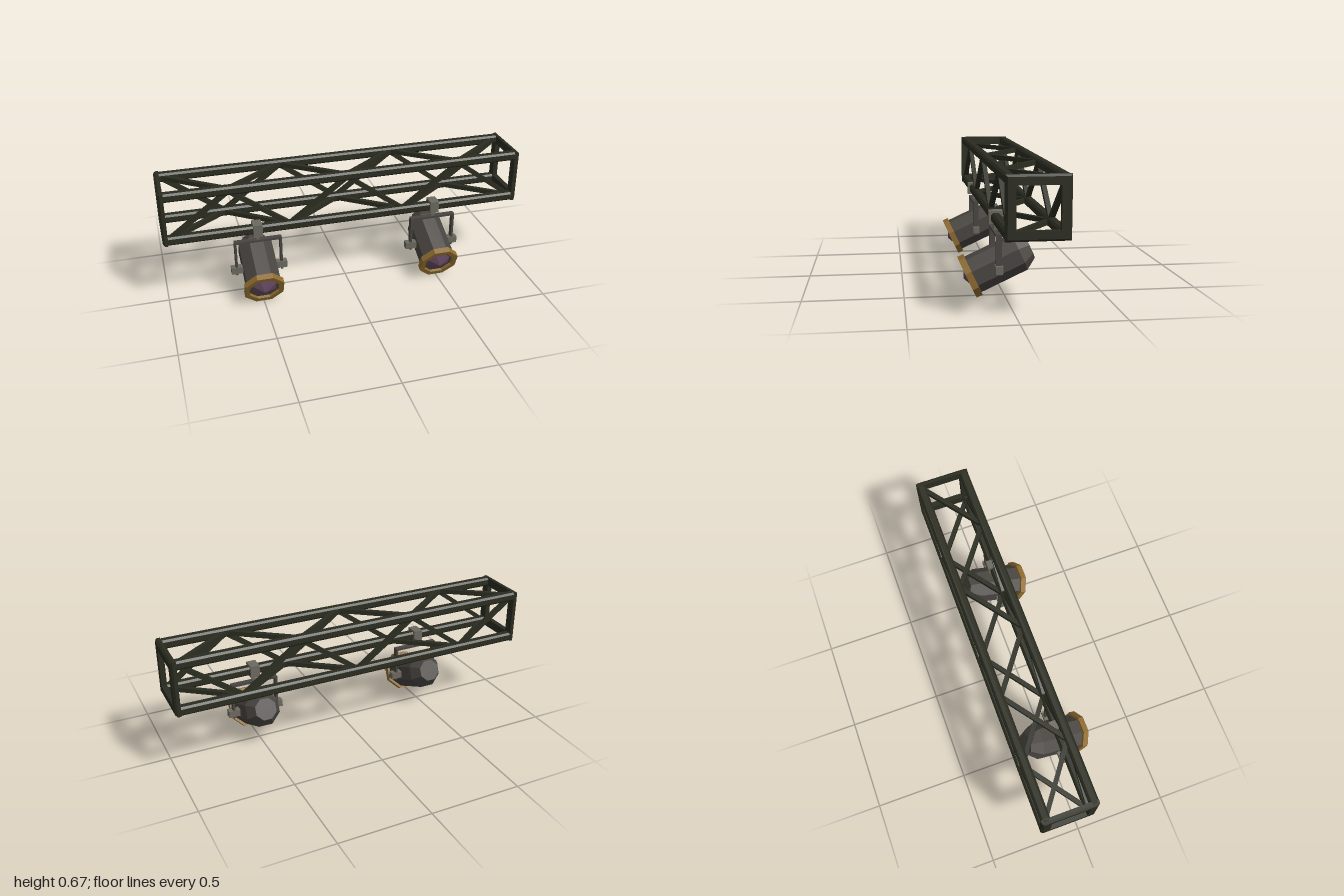
import * as THREE from 'three';

export function createModel() {
  const model = new THREE.Group();
  model.name = 'stageLightTruss';

  const material = (name, color) => {
    const m = new THREE.MeshStandardMaterial({ color, flatShading: true });
    m.name = name;
    return m;
  };
  const trussPaint = material('trussPaint', 0x2b2c20);
  const housingPaint = material('housingPaint', 0x494541);
  const clampMetal = material('clampMetal', 0x6b695f);
  const brass = material('brass', 0x8e6b2f);
  const lensGlass = material('lensGlass', 0x694a64);

  const add = (parent, name, geometry, mat, x = 0, y = 0, z = 0) => {
    const mesh = new THREE.Mesh(geometry, mat);
    mesh.name = name;
    mesh.position.set(x, y, z);
    parent.add(mesh);
    return mesh;
  };
  const box = (w, h, d) => new THREE.BoxGeometry(w, h, d);
  // Faceted solid of revolution with flats facing the axes
  const faceted = (profile, sides) => new THREE.LatheGeometry(
    profile.map(([r, y]) => new THREE.Vector2(r, y)), sides, Math.PI / sides);

  // ---- Truss, centred on its own axis ----
  const truss = new THREE.Group();
  truss.name = 'truss';
  truss.position.set(0, 0.527, -0.081);
  model.add(truss);
  const outer = 0.149, tube = 0.048, mid = outer - tube / 2;

  // Four chamfered chords
  const h = tube / 2, c = 0.01;
  const section = new THREE.Shape([
    [h, -h + c], [h, h - c], [h - c, h], [-h + c, h],
    [-h, h - c], [-h, -h + c], [-h + c, -h], [h - c, -h],
  ].map(([x, y]) => new THREE.Vector2(x, y)));
  const chord = new THREE.ExtrudeGeometry(section, { depth: 1.97, bevelEnabled: false });
  chord.translate(0, 0, -0.985).rotateY(Math.PI / 2);
  for (const y of [-mid, mid])
    for (const z of [-mid, mid]) add(truss, 'chord', chord, trussPaint, 0, y, z);

  // Square end frames with a chamfered outer rim
  const q = Math.SQRT2, inner = outer - tube;
  for (const side of [-1, 1]) {
    const frame = faceted([
      [inner * q, 0.97], [outer * q, 0.97], [outer * q, 0.988],
      [(outer - c) * q, 0.998], [inner * q, 0.998], [inner * q, 0.97],
    ], 4);
    frame.rotateZ(-side * Math.PI / 2);
    add(truss, 'endFrame', frame, trussPaint);
  }

  // Zigzag braces, opposite faces running in opposite directions
  const bays = 6, bay = 0.32, reach = 0.118;
  const angle = Math.atan2(2 * reach, bay);
  const brace = box(Math.hypot(2 * reach, bay), 0.024, 0.024);
  for (let i = 0; i < bays; i++) {
    const x = (i - (bays - 1) / 2) * bay;
    const dir = i % 2 ? -1 : 1;
    for (const s of [-1, 1]) {
      add(truss, 'sideBrace', brace, trussPaint, x, 0, s * mid).rotation.z = s * dir * angle;
      add(truss, 'levelBrace', brace, trussPaint, x, s * mid, 0).rotation.y = -s * dir * angle;
    }
  }

  // ---- Lamps ----
  const forward = (profile) => faceted(profile, 8).rotateX(Math.PI / 2);
  const body = forward([[0, -0.189], [0.061, -0.189], [0.099, -0.13], [0.099, 0.142], [0, 0.142]]);
  const rim = forward([[0.086, 0.125], [0.1137, 0.125], [0.1137, 0.158], [0.086, 0.158], [0.086, 0.125]]);
  const lens = forward([[0.074, 0.14], [0.03, 0.162], [0, 0.176]]);

  for (const x of [-0.5, 0.5]) {
    const lamp = new THREE.Group();
    lamp.name = 'lamp';
    lamp.position.set(x, 0, 0.043);
    model.add(lamp);

    // Clamp, stem and yoke
    add(lamp, 'clamp', box(0.05, 0.068, 0.07), clampMetal, 0, 0.402, 0);
    add(lamp, 'stem', box(0.018, 0.04, 0.016), clampMetal, 0, 0.352, 0);
    add(lamp, 'yokeBar', box(0.26, 0.012, 0.03), housingPaint, 0, 0.331, 0);
    for (const s of [-1, 1]) {
      add(lamp, 'yokeArm', box(0.012, 0.201, 0.03), housingPaint, s * 0.124, 0.2365, 0);
      add(lamp, 'pivotKnob', box(0.064, 0.038, 0.037), clampMetal, s * 0.122, 0.165, 0);
    }

    // Tilted lamp head
    const head = new THREE.Group();
    head.name = 'lampHead';
    head.position.y = 0.166;
    head.rotation.x = THREE.MathUtils.degToRad(24.8);
    lamp.add(head);
    add(head, 'housing', body, housingPaint);
    add(head, 'frontRim', rim, brass);
    add(head, 'lens', lens, lensGlass);
  }
  return model;
}
